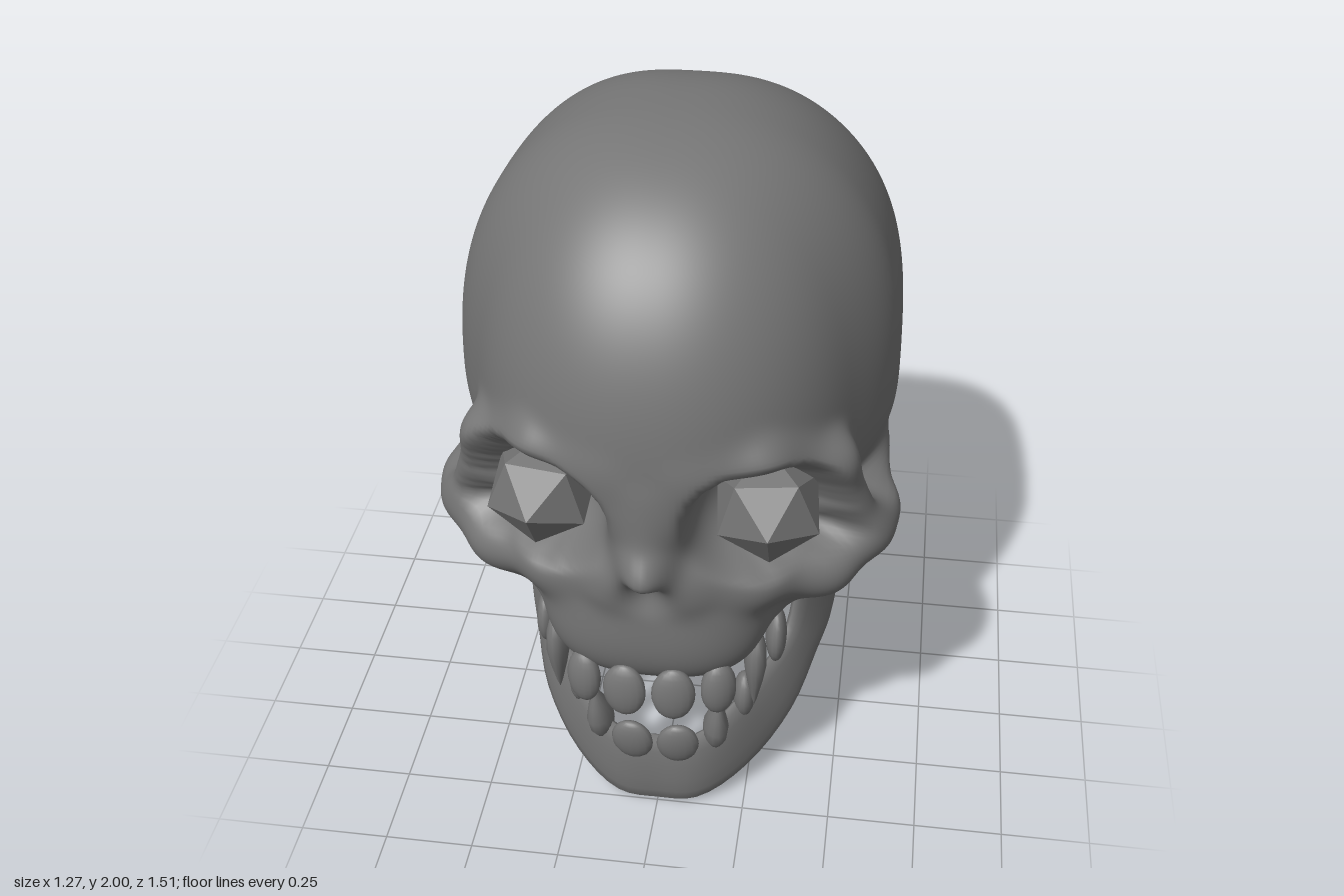
import * as THREE from 'three';
import { mergeVertices } from 'three/addons/utils/BufferGeometryUtils.js';

const bone = new THREE.MeshStandardMaterial({ color: 0x767676 });
const faceted = new THREE.MeshStandardMaterial({ color: 0x767676, flatShading: true });
const { lerp, smoothstep } = THREE.MathUtils;

// Soft union and soft subtraction of signed distances
const join = (a, b, k) => {
  const h = Math.max(k - Math.abs(a - b), 0) / k;
  return Math.min(a, b) - h * h * k / 4;
};
const carve = (a, b, k) => -join(-a, b, k);

// Superellipsoid: exponent a in plan, p in elevation
function blob(x, y, z, c, r, a = 2, p = 2) {
  const qx = x - c[0], qy = y - c[1], qz = z - c[2];
  const plan = Math.pow(Math.abs(qx / r[0]) ** a + Math.abs(qz / r[2]) ** a, p / a);
  const f = Math.pow(plan + Math.abs(qy / r[1]) ** p, 1 / p) + 1e-6;
  return Math.sqrt(qx * qx + qy * qy + qz * qz) * (1 - 1 / f);
}

// Rounded bar between two points
function bar(x, y, z, [a, b, r]) {
  const dx = b[0] - a[0], dy = b[1] - a[1], dz = b[2] - a[2];
  const px = x - a[0], py = y - a[1], pz = z - a[2];
  let t = (px * dx + py * dy + pz * dz) / (dx * dx + dy * dy + dz * dz);
  t = Math.min(1, Math.max(0, t));
  return Math.sqrt((px - dx * t) ** 2 + (py - dy * t) ** 2 + (pz - dz * t) ** 2) - r;
}

// Bony ridges of one half of the face: [start, end, radius]
const ridges = [
  [[0.1, 1.29, 0.61], [0.28, 1.31, 0.585], 0.055],  // brow
  [[0.28, 1.31, 0.585], [0.45, 1.23, 0.44], 0.055],
  [[0.45, 1.23, 0.44], [0.53, 1.0, 0.35], 0.055],   // outer orbit
  [[0.12, 0.95, 0.59], [0.28, 0.91, 0.53], 0.05],   // lower orbit
  [[0.26, 0.9, 0.51], [0.44, 0.87, 0.4], 0.08],     // cheekbone
  [[0.44, 0.87, 0.4], [0.545, 0.925, 0.31], 0.07],
  [[0.545, 0.925, 0.31], [0.565, 0.945, 0.23], 0.06],
  [[0.565, 0.945, 0.23], [0.545, 1.0, 0.02], 0.05],
  [[0.4, 0.85, 0.38], [0.3, 0.76, 0.38], 0.07],
  [[0, 1.22, 0.62], [0, 1.05, 0.66], 0.055],        // nose bridge
  [[0, 1.01, 0.64], [0, 1.0, 0.735], 0.022],        // nose tip
  [[0, 1.02, 0.67], [0.09, 0.9, 0.61], 0.04],       // nose flank
];

function skullDistance(sx, y, z) {
  const x = Math.abs(sx);
  // Braincase: boxy behind, rounder in front and on top, narrowing at the temples
  const upper = y > 1.25;
  const down = lerp(0.483, 0.44, smoothstep(z, -0.25, 0.15));
  const back = lerp(4, 2.9, smoothstep(y, 1.35, 1.95));
  let d = blob(x, y, z, [0, 1.25, 0],
    [0.605 - 0.06 * smoothstep(z, 0, 0.35), upper ? 0.75 : down, z > 0 ? 0.7 : 0.755],
    lerp(back, 2.2, smoothstep(z, -0.4, 0.4)),
    upper ? lerp(2.15, 2.35, smoothstep(z, -0.4, 0.3)) : lerp(3.1, 2.3, smoothstep(z, -0.3, 0.15)));
  // Upper jaw, its underside rising towards the back
  d = join(d, blob(x, y, z, [0, 0.8, 0.405],
    [0.32, lerp(0.19, 0.27, smoothstep(z, 0.25, 0.58)), 0.25], 2.6, 3), 0.1);
  for (const r of ridges) d = join(d, bar(x, y, z, r), 0.07);
  // Eye socket, widening outwards, and nasal opening
  d = carve(d, blob(x, y, z, [0.295, 1.12, 0.61], [0.19, 0.165, 0.25], 2, 2.2), 0.035);
  return carve(d, blob(x, y, z, [0, 0.9, 0.7], [0.055, 0.065, 0.06]), 0.03);
}

// Move each corner halfway to the mean of its neighbours
function relax(geo, passes) {
  const pos = geo.attributes.position, idx = geo.index.array;
  for (let n = 0; n < passes; n++) {
    const sum = new Float32Array(pos.count * 3), cnt = new Uint16Array(pos.count);
    for (let i = 0; i < idx.length; i++) {
      const a = idx[i], b = idx[i % 3 === 2 ? i - 2 : i + 1];
      for (const [p, q] of [[a, b], [b, a]]) {
        for (let k = 0; k < 3; k++) sum[p * 3 + k] += pos.array[q * 3 + k];
        cnt[p]++;
      }
    }
    for (let i = 0; i < sum.length; i++)
      pos.array[i] = (pos.array[i] + sum[i] / cnt[Math.floor(i / 3)]) / 2;
  }
}

// Shrink a sphere onto the sculpted surface along rays from its centre
function buildSkull() {
  const o = new THREE.Vector3(0, 1.05, 0.15);
  let geo = new THREE.SphereGeometry(1, 220, 170);
  geo.deleteAttribute('uv');
  geo.deleteAttribute('normal');
  geo = mergeVertices(geo, 1e-5);
  const pos = geo.attributes.position, v = new THREE.Vector3();
  for (let i = 0; i < pos.count; i++) {
    v.fromBufferAttribute(pos, i).normalize();
    const inside = r => skullDistance(o.x + v.x * r, o.y + v.y * r, o.z + v.z * r) < 0;
    let hi = 1.25;
    while (hi > 0.1 && !inside(hi - 0.015)) hi -= 0.015;
    let lo = hi - 0.015;
    for (let k = 0; k < 8; k++) {
      const m = (lo + hi) / 2;
      if (inside(m)) lo = m; else hi = m;
    }
    v.multiplyScalar(lo).add(o);
    pos.setXYZ(i, v.x, v.y, v.z);
  }
  relax(geo, 4);
  geo.computeVertexNormals();
  return geo;
}

// Lower jaw: a thin section swept from one ramus round the chin to the other
function buildJaw() {
  const lower = [[0, 0.003, 0.485], [0.11, 0.012, 0.48], [0.24, 0.075, 0.4], [0.36, 0.18, 0.25],
    [0.42, 0.28, 0.08], [0.45, 0.345, -0.005], [0.47, 0.53, -0.07], [0.467, 0.7, -0.08], [0.463, 0.83, -0.06]];
  const upper = [[0, 0.26, 0.495], [0.11, 0.27, 0.49], [0.2, 0.33, 0.43], [0.26, 0.37, 0.33],
    [0.32, 0.4, 0.23], [0.345, 0.45, 0.18], [0.36, 0.57, 0.16], [0.37, 0.7, 0.165], [0.38, 0.74, 0.18]];
  const curve = pts => new THREE.CatmullRomCurve3([
    ...pts.slice(1).reverse().map(p => new THREE.Vector3(-p[0], p[1], p[2])),
    ...pts.map(p => new THREE.Vector3(...p))]);
  const top = curve(upper), bot = curve(lower);
  const N = 64, M = 14, verts = [], idx = [];
  const mid = u => top.getPoint(u).add(bot.getPoint(u)).multiplyScalar(0.5);
  for (let i = 0; i <= N; i++) {
    const u = i / N, c = mid(u);
    const half = top.getPoint(u).sub(bot.getPoint(u)).multiplyScalar(0.5);
    const out = mid(Math.min(1, u + 0.01)).sub(mid(Math.max(0, u - 0.01))).cross(half).normalize();
    for (let j = 0; j < M; j++) {
      const a = j / M * Math.PI * 2, s = Math.sin(a);
      const p = c.clone().addScaledVector(half, Math.cos(a))
        .addScaledVector(out, 0.027 * Math.sign(s) * Math.abs(s) ** 0.7);
      verts.push(p.x, p.y, p.z);
      if (i < N) {
        const A = i * M + j, B = i * M + (j + 1) % M;
        idx.push(A, B, A + M, B, B + M, A + M);
      }
    }
  }
  // End caps
  const base = (N + 1) * M;
  for (const u of [0, 1]) verts.push(...mid(u).toArray());
  for (let j = 0; j < M; j++) {
    const k = (j + 1) % M;
    idx.push(base, k, j, base + 1, N * M + j, N * M + k);
  }
  const geo = new THREE.BufferGeometry();
  geo.setAttribute('position', new THREE.Float32BufferAttribute(verts, 3));
  geo.setIndex(idx);
  geo.computeVertexNormals();
  return geo;
}

export function createModel() {
  const model = new THREE.Group();
  const add = (name, geo, mat = bone) => {
    const m = new THREE.Mesh(geo, mat);
    m.name = name;
    model.add(m);
    return m;
  };
  add('skull', buildSkull());
  add('lowerJaw', buildJaw());

  // Tooth shapes: rounded bead and tapered fang with its tip down
  const bead = new THREE.SphereGeometry(1, 16, 12);
  const fang = new THREE.LatheGeometry(
    [[0, -1], [0.25, -0.8], [0.65, -0.35], [0.95, 0.1], [0.9, 0.5], [0.55, 0.85], [0, 1]]
      .map(p => new THREE.Vector2(...p)), 14);
  // [name, shape, position, radii, yaw, tilt]
  const teeth = [
    ['upperIncisor', bead, [0.067, 0.555, 0.635], [0.06, 0.087, 0.03], 0.1, 0],
    ['upperSideIncisor', bead, [0.185, 0.555, 0.592], [0.05, 0.087, 0.034], 0.4, 0],
    ['upperFang', fang, [0.275, 0.555, 0.495], [0.033, 0.14, 0.05], 0.15, 0],
    ['upperMolar', bead, [0.322, 0.592, 0.39], [0.03, 0.09, 0.06], 0.1, 0],
    ['lowerIncisor', bead, [0.065, 0.275, 0.535], [0.06, 0.08, 0.028], 0.1, 0.2],
    ['lowerFang', fang, [0.168, 0.322, 0.482], [0.038, 0.115, 0.05], 0.3, Math.PI + 0.25],
    ['lowerMolar', bead, [0.237, 0.355, 0.39], [0.032, 0.083, 0.05], 0.1, 0.15],
  ];
  for (const side of [-1, 1]) {
    const label = side > 0 ? 'Left' : 'Right';
    // Faceted eyeball with one corner facing forward
    const eye = add('eye' + label, new THREE.IcosahedronGeometry(0.153, 0), faceted);
    eye.position.set(0.295 * side, 1.113, 0.495);
    eye.rotation.set(0.6, 0.1 * side, 0);
    for (const [name, geo, p, r, yaw, tilt] of teeth) {
      const t = add(name + label, geo);
      t.position.set(p[0] * side, p[1], p[2]);
      t.scale.set(...r);
      t.rotation.set(tilt, yaw * side, 0, 'YXZ');
    }
  }
  return model;
}
